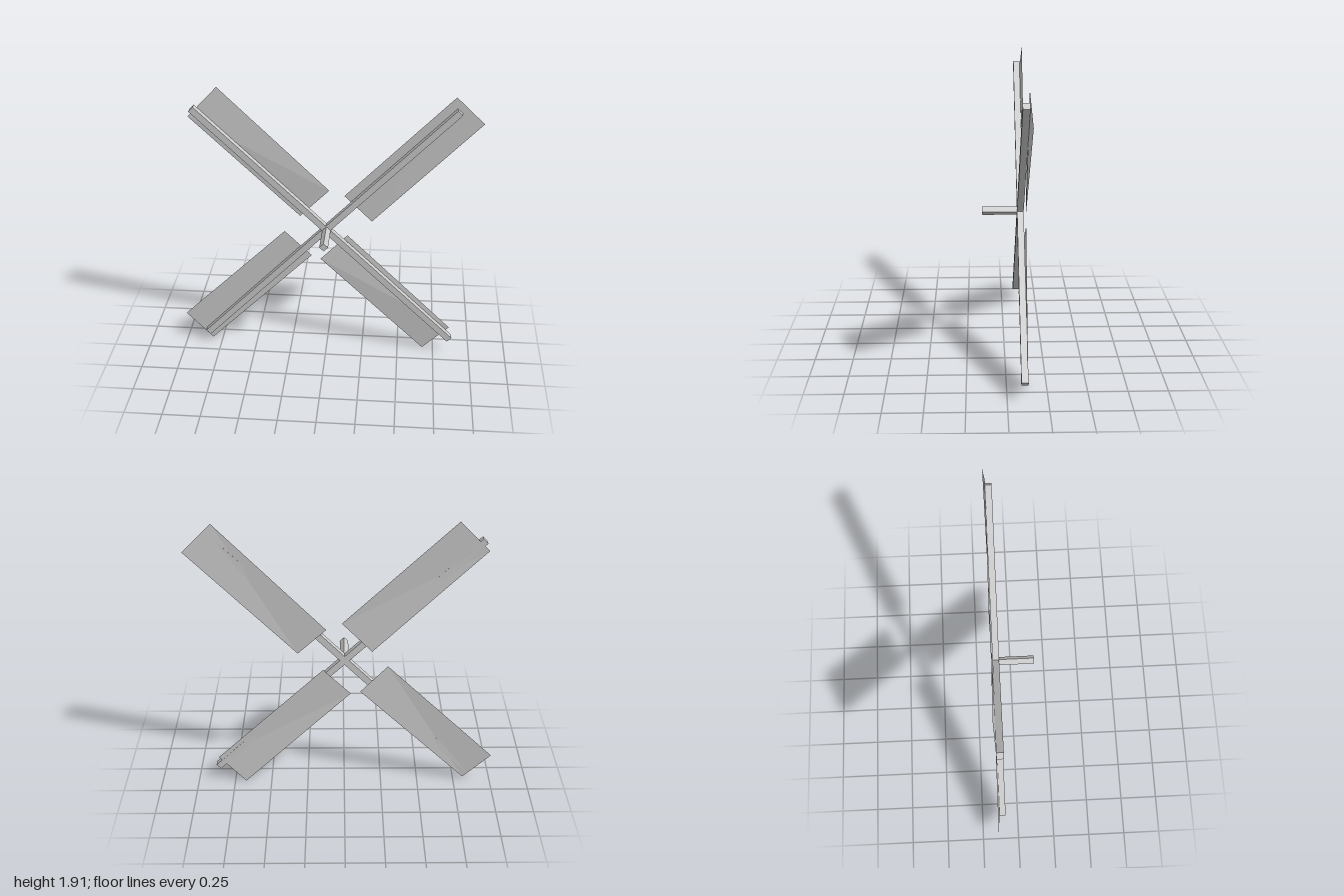
import * as THREE from 'three';

const HUB = new THREE.Vector3(0, 0.95, -0.107);

export function createModel() {
  const model = new THREE.Group();
  const grey = new THREE.MeshStandardMaterial({ color: 0xcccccc, flatShading: true });
  const cloth = new THREE.MeshStandardMaterial({ color: 0xcccccc, flatShading: true, side: THREE.DoubleSide });

  const add = (name, geometry, material) => {
    const mesh = new THREE.Mesh(geometry, material);
    mesh.name = name;
    model.add(mesh);
    return mesh;
  };

  // Two crossed spars, each running between opposite sail tips
  for (const [x1, y1, x2, y2] of [[-0.865, 1.787, 0.86, 0.118], [-0.84, 0.09, 0.835, 1.815]]) {
    const length = Math.hypot(x2 - x1, y2 - y1);
    const spar = add('spar', new THREE.BoxGeometry(length, 0.043, 0.043), grey);
    spar.position.set((x1 + x2) / 2, (y1 + y2) / 2, HUB.z);
    spar.rotation.z = Math.atan2(y2 - y1, x2 - x1);
  }

  // Square axle, set on its corner, reaching forward from the crossing
  const axle = add('axle', new THREE.BoxGeometry(0.04, 0.04, 0.25), grey);
  axle.position.set(HUB.x, HUB.y, 0.018);
  axle.rotation.z = Math.PI / 4;

  // Slightly twisted sails: outer leading, outer trailing, inner trailing, inner leading
  const depths = [-0.126, -0.14, -0.131, -0.141];
  const sails = [
    [[0.81, 1.905], [0.995, 1.725], [0.3, 1.008], [0.115, 1.185]],
    [[0.855, 0.195], [0.675, 0.008], [-0.043, 0.705], [0.138, 0.89]],
    [[-0.815, 0.025], [-1, 0.21], [-0.285, 0.91], [-0.105, 0.725]],
    [[-0.895, 1.722], [-0.703, 1.922], [0.015, 1.225], [-0.18, 1.025]],
  ];
  for (const corners of sails) {
    const geometry = new THREE.BufferGeometry();
    const points = corners.flatMap(([x, y], i) => [x, y, depths[i]]);
    geometry.setAttribute('position', new THREE.Float32BufferAttribute(points, 3));
    geometry.setIndex([0, 2, 1, 0, 3, 2]);
    geometry.computeVertexNormals();
    add('sail', geometry, cloth);
  }

  return model;
}
